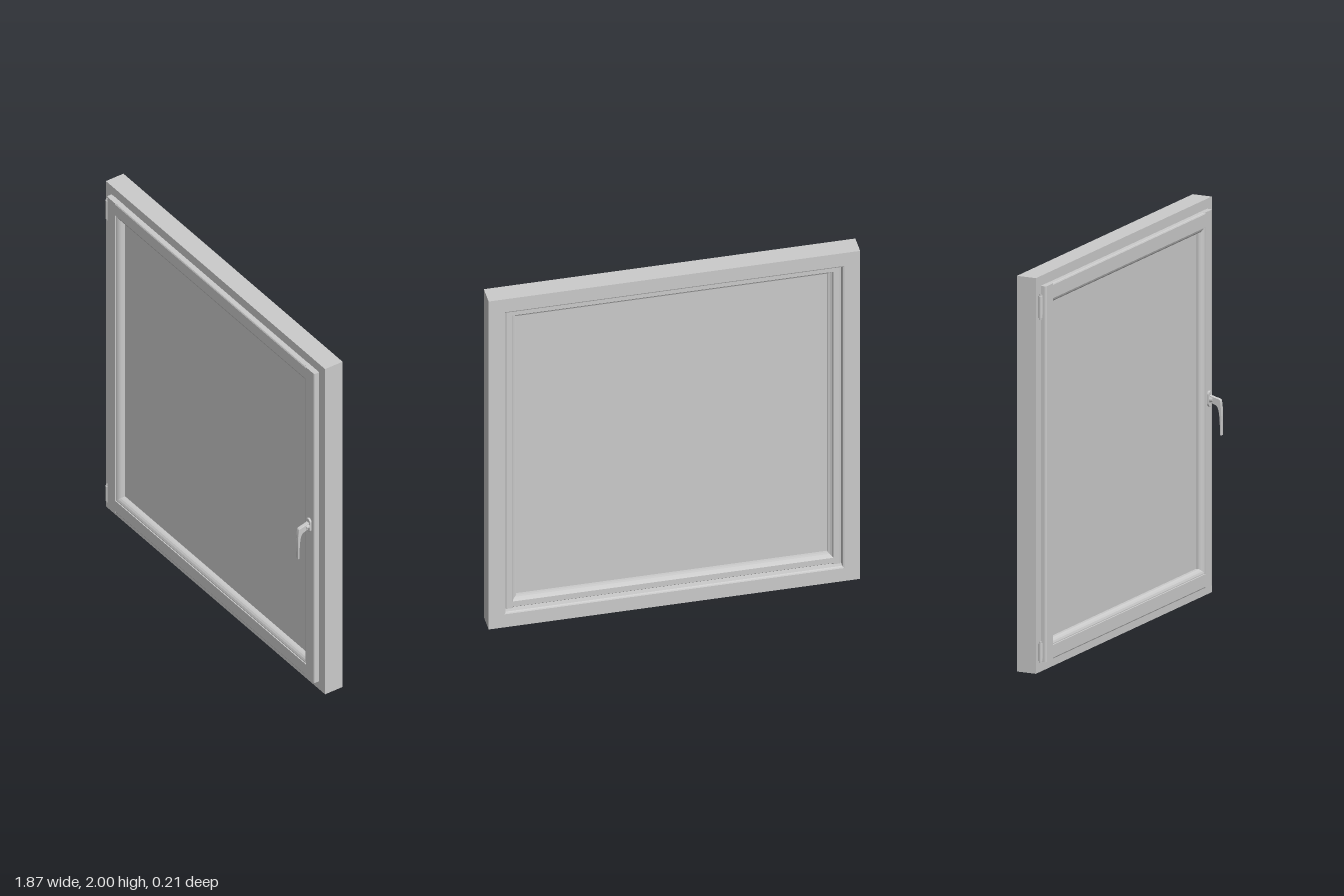
import * as THREE from 'three';

const grey = new THREE.MeshStandardMaterial({ color: 0xcccccc });
const HALF_W = 0.785, HALF_H = 0.85; // half size of the visible glass

function addMesh(parent, name, geometry, x = 0, y = 0, z = 0) {
  const mesh = new THREE.Mesh(geometry, grey);
  mesh.name = name;
  mesh.position.set(x, y, z);
  parent.add(mesh);
  return mesh;
}

// Straight bar with a profile of [distance outside the glass edge, z]
function bar(profile, half, length) {
  const shape = new THREE.Shape(profile.map(([d, z]) => new THREE.Vector2(half + d, z)));
  return new THREE.ExtrudeGeometry(shape, { depth: length, bevelEnabled: false })
    .translate(0, 0, -length / 2)
    .rotateX(Math.PI / 2);
}

// Two uprights and two rails around the centre; each end runs past the glass edge
function surround(name, profile, uprightEnd, railEnd) {
  const group = new THREE.Group();
  group.name = name;
  group.position.y = 1;
  ['LeftUpright', 'TopRail', 'RightUpright', 'BottomRail'].forEach((side, i) => {
    const geometry = i % 2
      ? bar(profile, HALF_H, 2 * (HALF_W + railEnd))
      : bar(profile, HALF_W, 2 * (HALF_H + uprightEnd));
    addMesh(group, name + side, geometry).rotation.z = i * Math.PI / 2;
  });
  return group;
}

const frameProfile = [
  [0.15, -0.105], [0.15, 0], [0.09, 0], [0.088, -0.062], [0.062, -0.065],
  [0.062, -0.096], [0.065, -0.102], [0.071, -0.105],
];
const sashProfile = [
  [0.1, 0.001], [0.1, 0.022], [0.098, 0.027], [0.092, 0.03], [0.028, 0.03],
  [0.027, 0.025], [0.022, 0.025], [0.012, 0.021], [0.004, 0.014], [0, 0.006],
  [0, -0.054], [0.008, -0.058], [0.018, -0.066], [0.022, -0.075],
  [0.054, -0.075], [0.058, -0.071], [0.058, -0.058], [0.082, -0.058], [0.082, 0.001],
];

// Upright capsule plate
function plate(width, height, depth) {
  const r = width / 2, h = height / 2 - r;
  const shape = new THREE.Shape();
  shape.absarc(0, h, r, 0, Math.PI);
  shape.absarc(0, -h, r, Math.PI, 2 * Math.PI);
  return new THREE.ExtrudeGeometry(shape, {
    depth, bevelSize: 0.002, bevelThickness: 0.002, bevelOffset: -0.002, bevelSegments: 2,
  });
}

function createHandle() {
  const handle = new THREE.Group();
  handle.name = 'handle';
  handle.position.x = 0.845;
  addMesh(handle, 'handlePlate', plate(0.036, 0.08, 0.008), 0, 1.003, 0.03);
  addMesh(handle, 'handleCollar',
    new THREE.CylinderGeometry(0.015, 0.017, 0.02, 24).rotateX(Math.PI / 2), 0, 1, 0.046);
  // Side outline of neck and lever, in z and y
  const s = new THREE.Shape();
  s.moveTo(0.04, 0.986);
  s.lineTo(0.07, 0.975);
  s.bezierCurveTo(0.092, 0.97, 0.094, 0.92, 0.097, 0.825);
  s.lineTo(0.104, 0.825);
  s.bezierCurveTo(0.105, 0.89, 0.108, 0.96, 0.099, 1.0);
  s.bezierCurveTo(0.096, 1.012, 0.07, 1.01, 0.04, 1.022);
  s.closePath();
  const lever = new THREE.ExtrudeGeometry(s, {
    depth: 0.014, bevelSize: 0.002, bevelThickness: 0.003, bevelOffset: -0.002,
    bevelSegments: 3, curveSegments: 16,
  }).translate(0, 0, -0.007).rotateY(-Math.PI / 2);
  addMesh(handle, 'handleLever', lever);
  return handle;
}

function createHinge(name, y, height) {
  const hinge = new THREE.Group();
  hinge.name = name;
  hinge.position.set(-0.906, y, 0);
  addMesh(hinge, 'hingeBarrel', new THREE.CylinderGeometry(0.01, 0.01, height, 20), 0, 0, 0.011);
  addMesh(hinge, 'hingePin', new THREE.CylinderGeometry(0.005, 0.005, height + 0.02, 16), 0, 0, 0.011);
  addMesh(hinge, 'hingeLeaf', new THREE.BoxGeometry(0.02, height * 0.8, 0.008), 0.011, 0, 0.008);
  return hinge;
}

export function createModel() {
  const model = new THREE.Group();
  model.name = 'window';
  model.add(surround('frame', frameProfile, 0.09, 0.15));
  model.add(surround('sash', sashProfile, 0.1, 0.028));
  addMesh(model, 'glassPane',
    new THREE.BoxGeometry(2 * HALF_W + 0.02, 2 * HALF_H + 0.02, 0.03), 0, 1, -0.025);
  model.add(createHandle());
  model.add(createHinge('upperHinge', 1.85, 0.11));
  model.add(createHinge('lowerHinge', 0.105, 0.09));
  return model;
}
